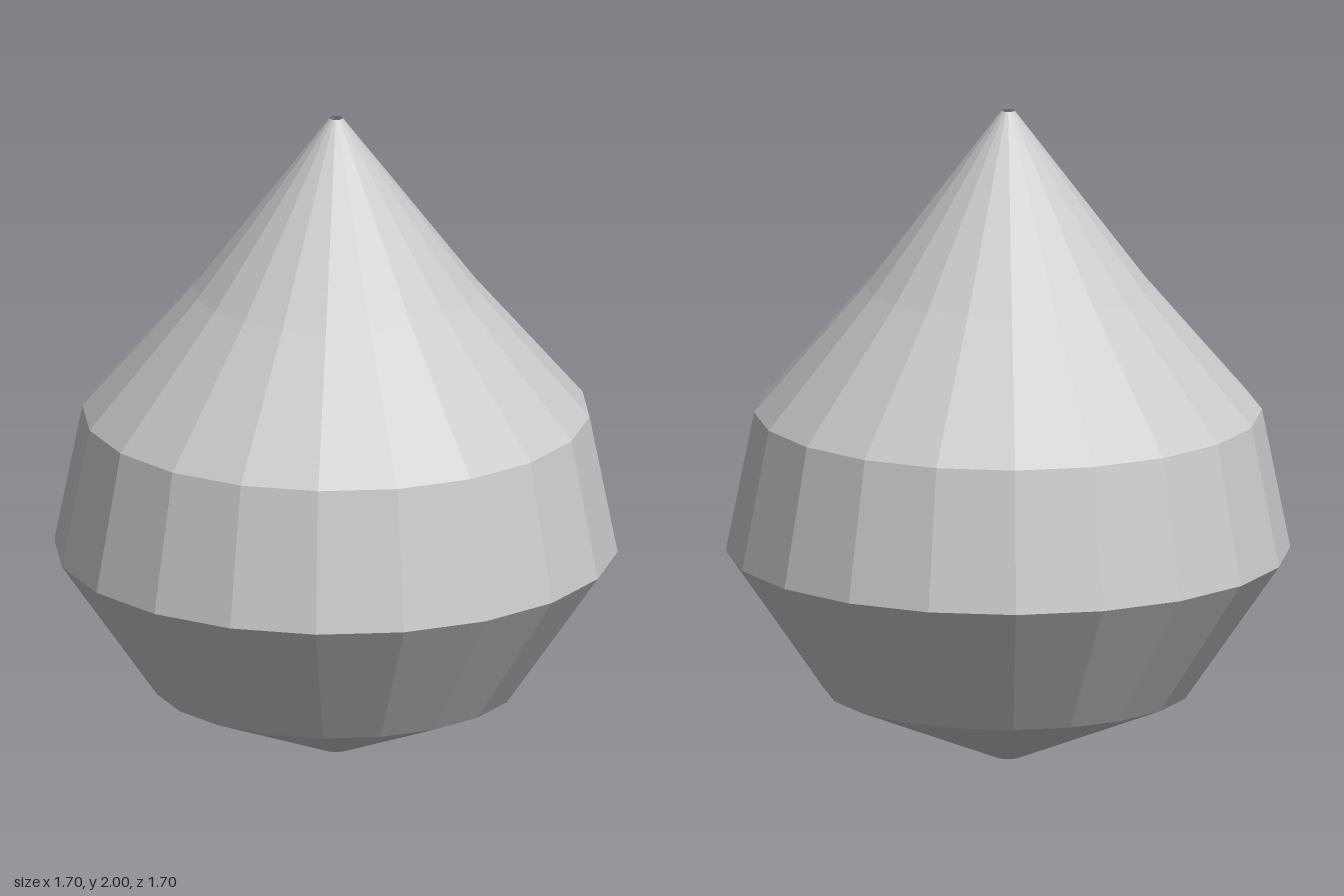
import * as THREE from 'three';

export function createModel() {
  const model = new THREE.Group();
  model.name = 'facetedDrop';

  const material = new THREE.MeshStandardMaterial({
    color: 0xcccccc,
    flatShading: true,
    side: THREE.DoubleSide,
  });

  // Radius and height of each ring, from the bottom opening to the top opening
  const profile = [
    [0.04, 0],
    [0.555, 0.215],
    [0.85, 0.643],
    [0.765, 1.07],
    [0.43, 1.46],
    [0.02, 2],
  ].map(([r, y]) => new THREE.Vector2(r, y));

  // Thin twenty-sided shell, open at both ends
  const shell = new THREE.Mesh(new THREE.LatheGeometry(profile, 20), material);
  shell.name = 'shell';
  model.add(shell);

  return model;
}
